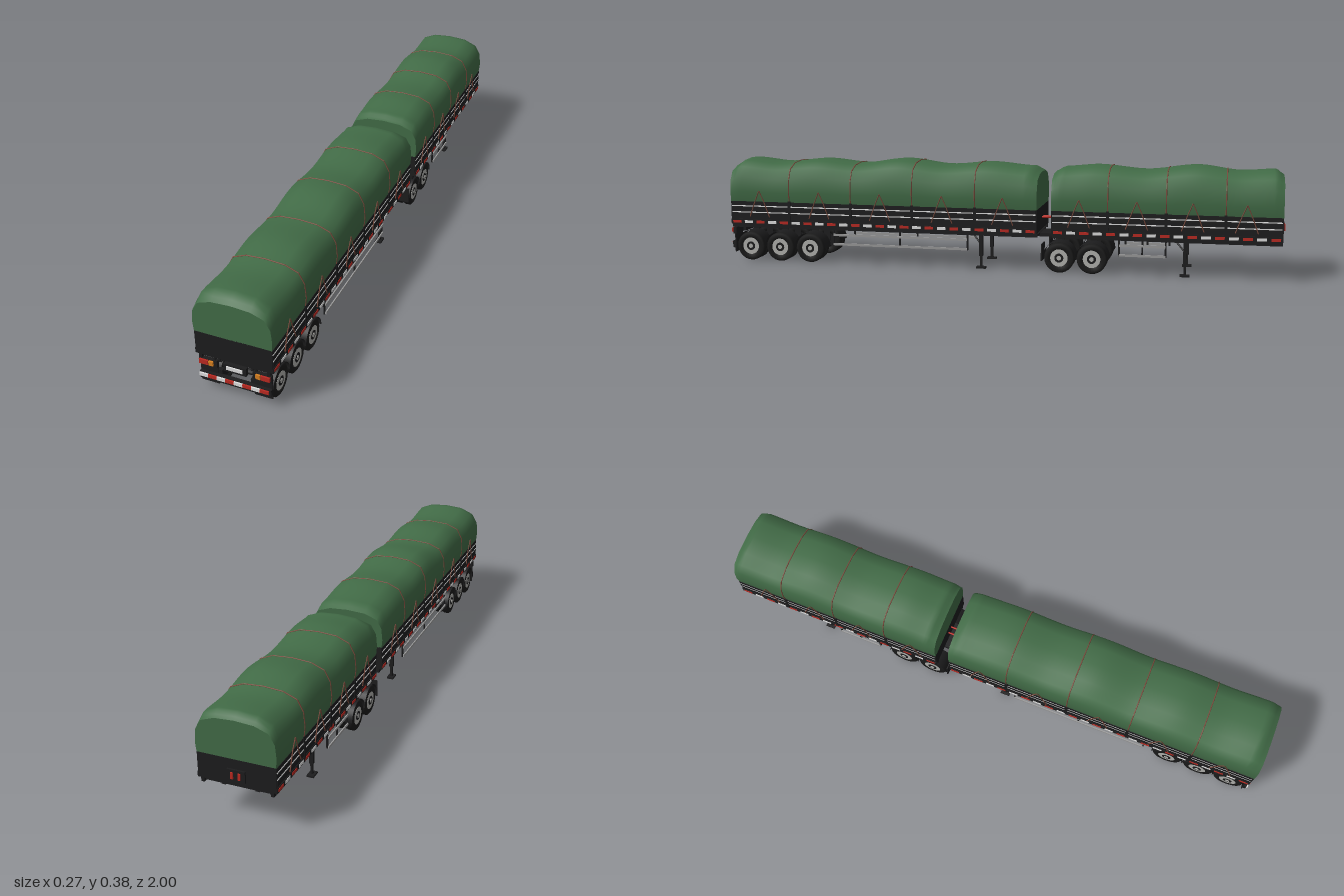
import * as THREE from 'three';

const mat = (name, color, side = THREE.FrontSide) => {
  const m = new THREE.MeshStandardMaterial({ color, side });
  m.name = name;
  return m;
};

export function createModel() {
  const M = {
    tarp: mat('tarp green', 0x426c47),
    black: mat('chassis black', 0x1d1d1e, THREE.DoubleSide),
    tyre: mat('tyre black', 0x1b1b1b),
    rim: mat('rim grey', 0xb4b4b0),
    rail: mat('rail grey', 0x9c9c9c),
    red: mat('reflector red', 0xbc2a22),
    white: mat('reflector white', 0xe0e0e0),
    orange: mat('indicator orange', 0xd88020),
    rope: mat('rope brown', 0x7a4a3c),
  };
  const root = new THREE.Group();
  root.name = 'doubleTrailer';

  const add = (parent, name, geo, m, x = 0, y = 0, z = 0) => {
    const mesh = new THREE.Mesh(geo, m);
    mesh.name = name;
    mesh.position.set(x, y, z);
    parent.add(mesh);
    return mesh;
  };
  // box given by its limits
  const box = (p, name, m, x0, x1, y0, y1, z0, z1) =>
    add(p, name, new THREE.BoxGeometry(Math.abs(x1 - x0), y1 - y0, Math.abs(z1 - z0)), m,
      (x0 + x1) / 2, (y0 + y1) / 2, (z0 + z1) / 2);
  // thin round bar between two points
  const rod = (p, name, m, a, b, r) => {
    const d = b.clone().sub(a);
    const mesh = add(p, name, new THREE.CylinderGeometry(r, r, d.length(), 16, 1, true), m);
    mesh.position.copy(a).add(b).multiplyScalar(0.5);
    mesh.quaternion.setFromUnitVectors(new THREE.Vector3(0, 1, 0), d.normalize());
  };
  const V = (x, y, z) => new THREE.Vector3(x, y, z);

  // tarp cross-section, right half bottom to crest
  const half = [[0.128, 0.221], [0.133, 0.26], [0.129, 0.315], [0.11, 0.355], [0.065, 0.375], [0, 0.38]];
  const outline = [...half, ...half.slice(0, -1).reverse().map(([x, y]) => [-x, y])];
  const crestAt = (crest, z) => {
    let i = 0;
    while (i < crest.length - 2 && z > crest[i + 1][0]) i++;
    const [za, ha] = crest[i], [zb, hb] = crest[i + 1];
    return THREE.MathUtils.lerp(ha, hb, THREE.MathUtils.smoothstep(z, za, zb));
  };
  const section = (crest, z, grow = 0) => {
    const k = (crestAt(crest, z) - 0.221) / 0.159;
    const w = 0.9 + 0.1 * Math.min(1, k + 0.05);
    return outline.map(([x, y]) => V(x * (y > 0.24 ? w : 1) + Math.sign(x) * grow,
      0.221 + (y - 0.221) * k + (y > 0.34 ? grow : 0), z));
  };

  function buildTarp(g, crest) {
    const z0 = crest[0][0], z1 = crest[crest.length - 1][0], n = 72, c = outline.length;
    const pos = [], idx = [];
    for (let i = 0; i <= n; i++) {
      section(crest, z0 + (z1 - z0) * i / n).forEach(v => pos.push(v.x, v.y, v.z));
      for (let j = 0; i < n && j < c - 1; j++) {
        const a = i * c + j, b = a + c;
        idx.push(a, a + 1, b, b, a + 1, b + 1);
      }
    }
    const geo = new THREE.BufferGeometry();
    geo.setAttribute('position', new THREE.Float32BufferAttribute(pos, 3));
    geo.setIndex(idx);
    geo.computeVertexNormals();
    add(g, 'tarp', geo, M.tarp);
    for (const [z, turn] of [[z1, 0], [z0, Math.PI]]) {
      const shape = new THREE.Shape(section(crest, z).map(v => new THREE.Vector2(v.x, v.y)));
      add(g, 'tarpEnd', new THREE.ShapeGeometry(shape), M.tarp, 0, 0, z).rotation.y = turn;
    }
  }

  const tyreGeo = new THREE.LatheGeometry([[0.03, -0.013], [0.048, -0.013], [0.053, -0.009], [0.053, 0.009],
    [0.048, 0.013], [0.03, 0.013], [0.03, -0.013]].map(p => new THREE.Vector2(...p)), 28).rotateZ(-Math.PI / 2);
  const disc = (r, h, n) => new THREE.CylinderGeometry(r, r, h, n).rotateZ(Math.PI / 2);
  const fenderGeo = new THREE.CylinderGeometry(0.058, 0.058, 0.062, 16, 1, true, 0, Math.PI).rotateZ(Math.PI / 2);

  function buildAxle(g, z) {
    const y = 0.053;
    add(g, 'axle', disc(0.009, 0.2, 10), M.black, 0, y, z);
    for (const s of [-1, 1]) {
      for (const x of [0.072, 0.104]) add(g, 'tyre', tyreGeo, M.tyre, s * x, y, z);
      add(g, 'innerWheel', disc(0.031, 0.018, 20), M.black, s * 0.072, y, z);
      add(g, 'rim', disc(0.031, 0.027, 28), M.rim, s * 0.104, y, z);
      add(g, 'rimDish', disc(0.016, 0.002, 24), M.black, s * 0.1178, y, z);
      add(g, 'hub', disc(0.008, 0.004, 20), M.rim, s * 0.118, y, z);
      add(g, 'fender', fenderGeo, M.black, s * 0.089, y, z);
      box(g, 'springHanger', M.black, s * 0.058, s * 0.064, 0.05, 0.118, z - 0.012, z + 0.012);
    }
  }

  function buildTrailer(name, o) {
    const g = new THREE.Group();
    g.name = name;
    root.add(g);
    const { z0, z1 } = o, L = z1 - z0;
    buildTarp(g, o.crest);

    // cargo bed, end walls and under-frame
    box(g, 'floor', M.black, -0.122, 0.122, 0.138, 0.148, z0, z1);
    box(g, 'endWall', M.black, -0.128, 0.128, 0.137, 0.223, z1 - 0.01, z1);
    box(g, 'endWall', M.black, -0.128, 0.128, 0.137, 0.223, z0, z0 + 0.01);
    const ribs = Math.round(L / 0.08);
    for (let i = 0; i <= ribs; i++) {
      const z = z0 + 0.012 + (L - 0.024) * i / ribs;
      box(g, 'crossMember', M.black, -0.115, 0.115, 0.127, 0.138, z - 0.004, z + 0.004);
    }
    for (const s of [-1, 1]) {
      box(g, 'mainBeam', M.black, s * 0.053, s * 0.059, 0.116, 0.138, z0 + 0.02, z1 - 0.01);
      box(g, 'beamFlange', M.black, s * 0.049, s * 0.063, 0.115, 0.119, z0 + 0.02, z1 - 0.01);
      box(g, 'sideBoard', M.black, s * 0.12, s * 0.127, 0.15, 0.223, z0, z1);
      box(g, 'sill', M.black, s * 0.118, s * 0.13, 0.137, 0.155, z0, z1);
      box(g, 'lowerSill', M.black, s * 0.108, s * 0.119, 0.123, 0.139, z0, z1);
      for (const [ya, yb] of [[0.158, 0.178], [0.184, 0.201], [0.207, 0.221]])
        box(g, 'boardRib', M.black, s * 0.126, s * 0.1295, ya, yb, z0 + 0.003, z1 - 0.003);
      for (const y of [0.181, 0.204])
        box(g, 'boardTrim', M.white, s * 0.126, s * 0.1298, y - 0.0018, y + 0.0018, z0 + 0.004, z1 - 0.004);
      // reflective strip
      const n = Math.round(L / 0.046);
      for (let i = 0; i < n; i++) {
        const z = z0 + L * (i + 0.5) / n;
        box(g, 'sideReflector', i % 2 ? M.white : M.red, s * 0.129, s * 0.1315, 0.1405, 0.1505, z - 0.016, z + 0.016);
      }
      // stakes between the boards and tie-down ropes
      for (const z of o.ropes)
        box(g, 'stake', M.black, s * 0.126, s * 0.1315, 0.15, 0.225, z - 0.005, z + 0.005);
      for (const z of o.ties) for (const d of [-1, 1]) {
        rod(g, 'tieRope', M.rope, V(s * 0.1345, 0.262, z), V(s * 0.132, 0.222, z + d * 0.017), 0.0018);
        rod(g, 'tieRope', M.rope, V(s * 0.132, 0.222, z + d * 0.017), V(s * 0.132, 0.165, z + d * 0.038), 0.0018);
      }
      // side guard
      const [ga, gb] = o.guard;
      for (const y of [0.072, 0.106])
        box(g, 'guardRail', M.rail, s * 0.118, s * 0.122, y - 0.004, y + 0.004, ga, gb);
      for (const z of [ga, (ga + gb) / 2, gb])
        box(g, 'guardPost', M.black, s * 0.113, s * 0.118, 0.068, 0.13, z - 0.003, z + 0.003);
      // landing gear
      box(g, 'landingLeg', M.black, s * 0.083, s * 0.097, 0.045, 0.13, o.leg - 0.006, o.leg + 0.006);
      box(g, 'landingInner', M.black, s * 0.086, s * 0.094, 0.004, 0.05, o.leg - 0.004, o.leg + 0.004);
      box(g, 'landingFoot', M.black, s * 0.078, s * 0.102, 0, 0.006, o.leg - 0.017, o.leg + 0.017);
      rod(g, 'landingBrace', M.black, V(s * 0.09, 0.085, o.leg), V(s * 0.06, 0.125, o.leg + 0.04), 0.003);
    }
    box(g, 'landingBar', M.black, -0.09, 0.09, 0.116, 0.122, o.leg - 0.003, o.leg + 0.003);
    // ropes over the load
    for (const z of o.ropes) {
      const pts = section(o.crest, z, 0.0005);
      for (let j = 0; j < pts.length - 1; j++) rod(g, 'loadRope', M.rope, pts[j], pts[j + 1], 0.002);
    }
    o.axles.forEach(z => buildAxle(g, z));
    add(g, 'kingpin', new THREE.CylinderGeometry(0.008, 0.008, 0.02, 12), M.black, 0, 0.117, o.pin);
    box(g, 'couplingPlate', M.black, -0.085, 0.085, 0.123, 0.13, o.pin - 0.09, o.pin + 0.07);
    return g;
  }

  const rear = buildTrailer('longTrailer', {
    z0: -0.152, z1: 0.993, axles: [0.925, 0.81, 0.693], guard: [0.1, 0.6], leg: 0.055, pin: -0.06,
    ropes: [0.07, 0.3, 0.53, 0.765], ties: [-0.03, 0.19, 0.42, 0.65, 0.88],
    crest: [[-0.152, 0.345], [-0.12, 0.362], [0.04, 0.374], [0.19, 0.362], [0.36, 0.38], [0.52, 0.361],
      [0.67, 0.373], [0.82, 0.359], [0.96, 0.371], [0.993, 0.349]],
  });
  const front = buildTrailer('shortTrailer', {
    z0: -0.99, z1: -0.203, axles: [-0.23, -0.345], guard: [-0.6, -0.44], leg: -0.665, pin: -0.86,
    ropes: [-0.8, -0.6, -0.4], ties: [-0.87, -0.69, -0.5, -0.3],
    crest: [[-0.99, 0.352], [-0.965, 0.37], [-0.85, 0.363], [-0.7, 0.38], [-0.52, 0.36], [-0.35, 0.373],
      [-0.235, 0.364], [-0.203, 0.348]],
  });

  // coupling between the trailers
  box(front, 'rearCoupling', M.black, -0.05, 0.05, 0.116, 0.128, -0.23, -0.14);
  for (const s of [-1, 1]) rod(front, 'airHose', M.red, V(s * 0.012, 0.18, -0.204), V(s * 0.012, 0.18, -0.151), 0.003);
  // sockets on the leading wall
  box(front, 'socketPanel', M.black, -0.03, 0.03, 0.152, 0.19, -0.996, -0.99);
  for (const x of [-0.012, 0.012]) box(front, 'airSocket', M.red, x - 0.004, x + 0.004, 0.16, 0.182, -1, -0.995);

  // tail: lamps, plate holder, flaps and striped bumper
  box(rear, 'plateHolder', M.black, -0.038, 0.038, 0.095, 0.123, 0.98, 0.993);
  box(rear, 'plate', M.white, -0.027, 0.027, 0.105, 0.117, 0.993, 0.997);
  box(rear, 'bumper', M.black, -0.12, 0.12, 0.045, 0.07, 0.982, 0.995);
  for (let i = 0; i < 8; i++)
    box(rear, 'bumperStripe', i % 2 ? M.red : M.white, -0.119 + i * 0.029, -0.09 + i * 0.029, 0.055, 0.067, 0.995, 1);
  for (const s of [-1, 1]) {
    box(rear, 'lampBar', M.black, s * 0.06, s * 0.121, 0.097, 0.121, 0.98, 0.992);
    box(rear, 'tailLamp', M.red, s * 0.088, s * 0.118, 0.103, 0.119, 0.992, 0.998);
    box(rear, 'indicator', M.orange, s * 0.071, s * 0.086, 0.103, 0.119, 0.992, 0.998);
    box(rear, 'lampBracket', M.black, s * 0.066, s * 0.072, 0.12, 0.14, 0.978, 0.988);
    box(rear, 'bumperArm', M.black, s * 0.048, s * 0.066, 0.065, 0.085, 0.97, 0.985);
    box(rear, 'mudFlap', M.black, s * 0.06, s * 0.12, 0.03, 0.1, 0.982, 0.986);
    box(front, 'mudFlap', M.black, s * 0.06, s * 0.12, 0.04, 0.1, -0.17, -0.166);
  }
  return root;
}
